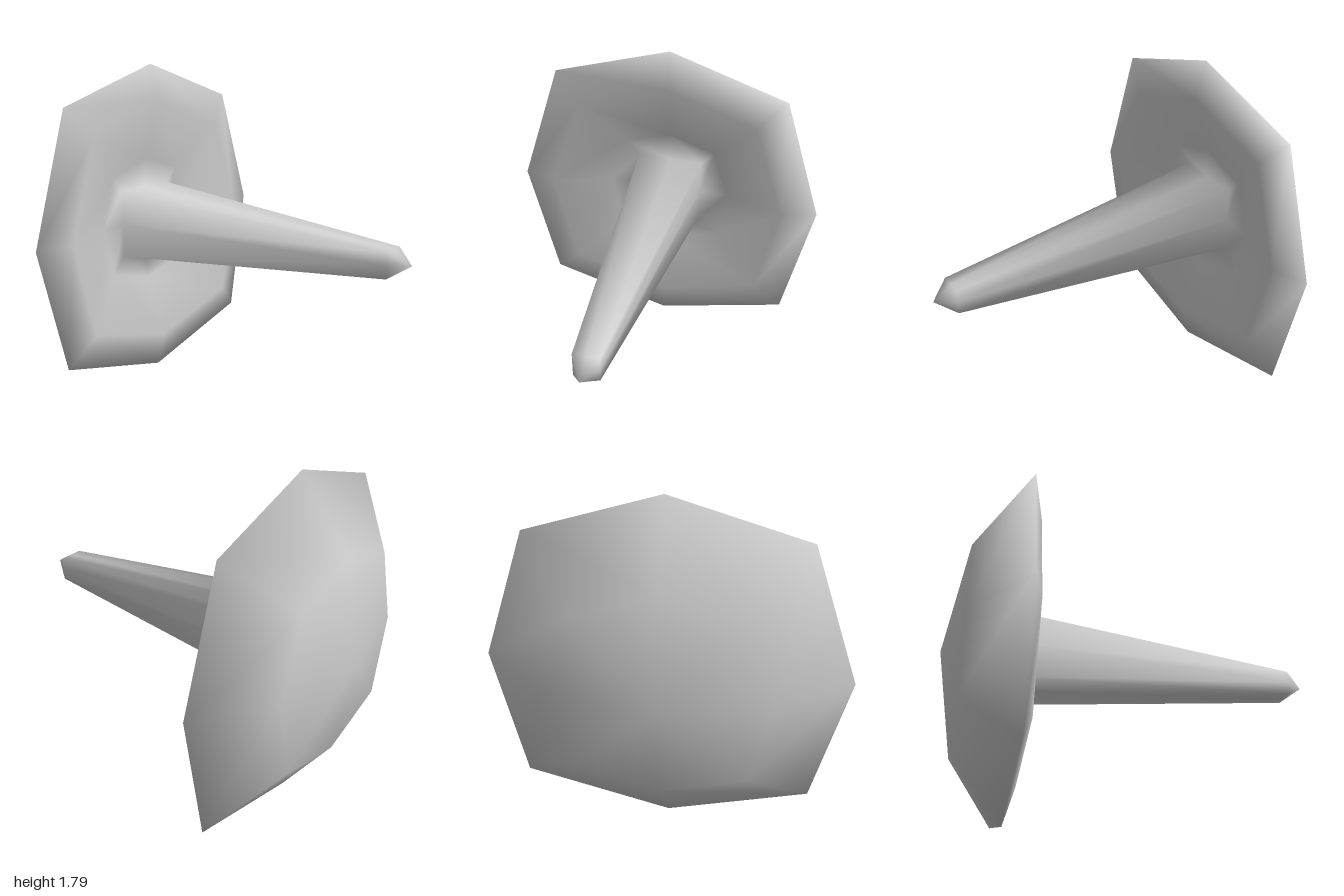
import * as THREE from 'three';

const CENTER_Y = 0.895;

// Widest outline of the head, slightly uneven, anticlockwise from the right
const RIM = [[0.89, 0], [0.66, 0.68], [0, 0.895], [-0.66, 0.705], [-0.89, 0],
  [-0.715, -0.695], [0, -0.895], [0.745, -0.715]];

const headRing = (scale, z) => RIM.map(([x, y]) => new THREE.Vector3(x * scale, y * scale + CENTER_Y, z));

// Square ring with corners and side middles, in the same order as the rim
const spikeRing = (half, z) => RIM.map(([x, y]) =>
  new THREE.Vector3(Math.sign(x) * half, Math.sign(y) * half + CENTER_Y, z));

export function createModel() {
  // Cross-sections from the spike tip back to the crown of the head
  const rings = [
    spikeRing(0, 1),
    spikeRing(0.067, 0.9),
    spikeRing(0.19, -0.7),
    headRing(0.4, -0.69), // floor of the dish
    headRing(0.775, -0.573), // front lip
    headRing(1, -0.63), // rim
    headRing(0.595, -0.9),
    headRing(0, -1),
  ];
  const last = rings.length - 1;

  // Shared vertices: one for each end point, eight for each ring between
  const points = [];
  const ids = rings.map((ring, i) => {
    const isEnd = i === 0 || i === last;
    const start = points.length;
    points.push(...(isEnd ? ring.slice(0, 1) : ring));
    return ring.map((_, j) => (isEnd ? start : start + j));
  });

  // Corners of each face between neighbouring rings: two in front, two behind
  function faces(from, to) {
    const list = [];
    for (let i = from; i < to; i++) {
      for (let j = 0; j < 8; j++) {
        const k = (j + 1) % 8;
        list.push([ids[i][j], ids[i][k], ids[i + 1][j], ids[i + 1][k]]);
      }
    }
    return list;
  }

  // Smooth normals, each face counting equally, run across both parts
  const normals = points.map(() => new THREE.Vector3());
  for (const face of faces(0, last)) {
    const [a, b, c, d] = face.map((id) => points[id]);
    const normal = c.clone().sub(b).cross(d.clone().sub(a)).normalize();
    face.forEach((id) => normals[id].add(normal));
  }
  normals.forEach((normal) => normal.normalize());

  const flat = (vectors) => new THREE.Float32BufferAttribute(vectors.flatMap((v) => v.toArray()), 3);
  const position = flat(points);
  const normal = flat(normals);

  const grey = new THREE.MeshStandardMaterial({ color: 0xcccccc });
  grey.name = 'grey';

  const group = new THREE.Group();
  group.name = 'tack';
  for (const [name, from, to] of [['spike', 0, 2], ['head', 2, last]]) {
    const index = [];
    for (const [a, b, c, d] of faces(from, to)) {
      if (c !== d) index.push(a, c, d);
      if (a !== b) index.push(a, d, b);
    }
    const geometry = new THREE.BufferGeometry();
    geometry.setAttribute('position', position);
    geometry.setAttribute('normal', normal);
    geometry.setIndex(index);
    const mesh = new THREE.Mesh(geometry, grey);
    mesh.name = name;
    group.add(mesh);
  }
  return group;
}
